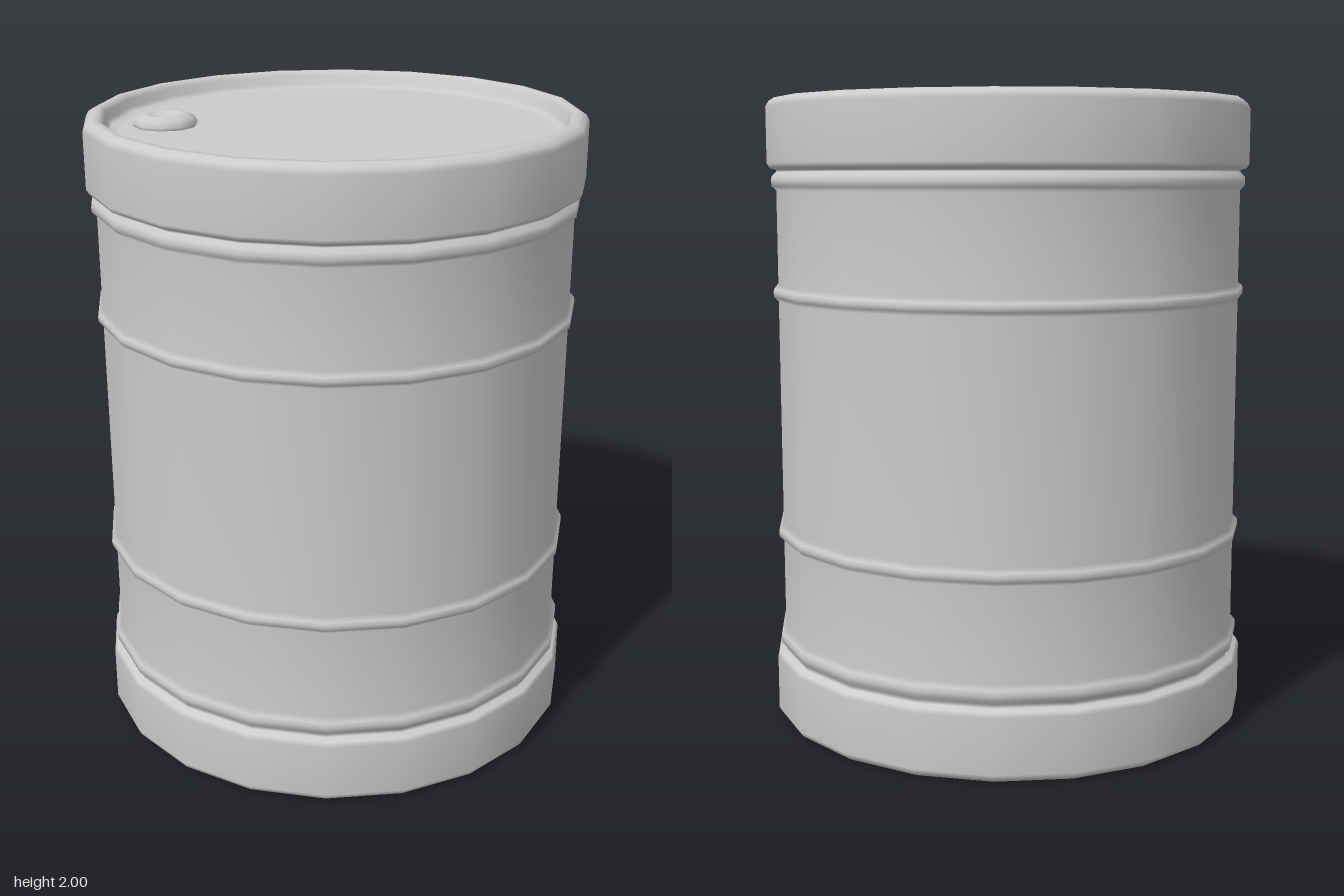
import * as THREE from 'three';

const material = new THREE.MeshStandardMaterial({ color: 0xcccccc });

// Revolved part from [radius, height] pairs, listed from the bottom up the outside
function lathe(name, points, sides) {
  const profile = points.map(([r, y]) => new THREE.Vector2(r, y));
  const mesh = new THREE.Mesh(new THREE.LatheGeometry(profile, sides), material);
  mesh.name = name;
  return mesh;
}

export function createModel() {
  const model = new THREE.Group();
  model.name = 'barrel';
  const wall = 0.75, lidHeight = 1.945;

  // Rounded rib raised from the wall
  const rib = (low, high) => [
    [wall, low], [0.764, low + 0.013], [0.766, (low + high) / 2], [0.764, high - 0.013], [wall, high],
  ];

  // Upper rim, rolled lip and sunken lid, from the wall to the centre
  const end = [
    [wall, 1.776], [0.77, 1.783], [0.778, 1.797],
    [0.778, 1.97], [0.768, 1.988], [0.75, 1.999], [0.73, 2],
    [0.716, 1.985], [0.71, 1.96], [0.698, 1.948], [0.67, lidHeight], [0, lidHeight],
  ];
  // The foot mirrors the top
  const foot = end.map(([r, y]) => [r, 2 - y]).reverse();

  model.add(lathe('body', [
    ...foot,
    ...rib(0.236, 0.296),
    ...rib(0.59, 0.644),
    ...rib(1.366, 1.418),
    ...rib(1.713, 1.77),
    ...end,
  ], 20));

  // Rounded bung with a dimple, near the lid's edge
  const bung = lathe('bung', [
    [0.098, 0], [0.102, 0.01], [0.092, 0.027], [0.072, 0.038],
    [0.052, 0.036], [0.03, 0.022], [0, 0.02],
  ], 10);
  bung.position.set(-0.53, lidHeight, 0);
  model.add(bung);

  return model;
}
